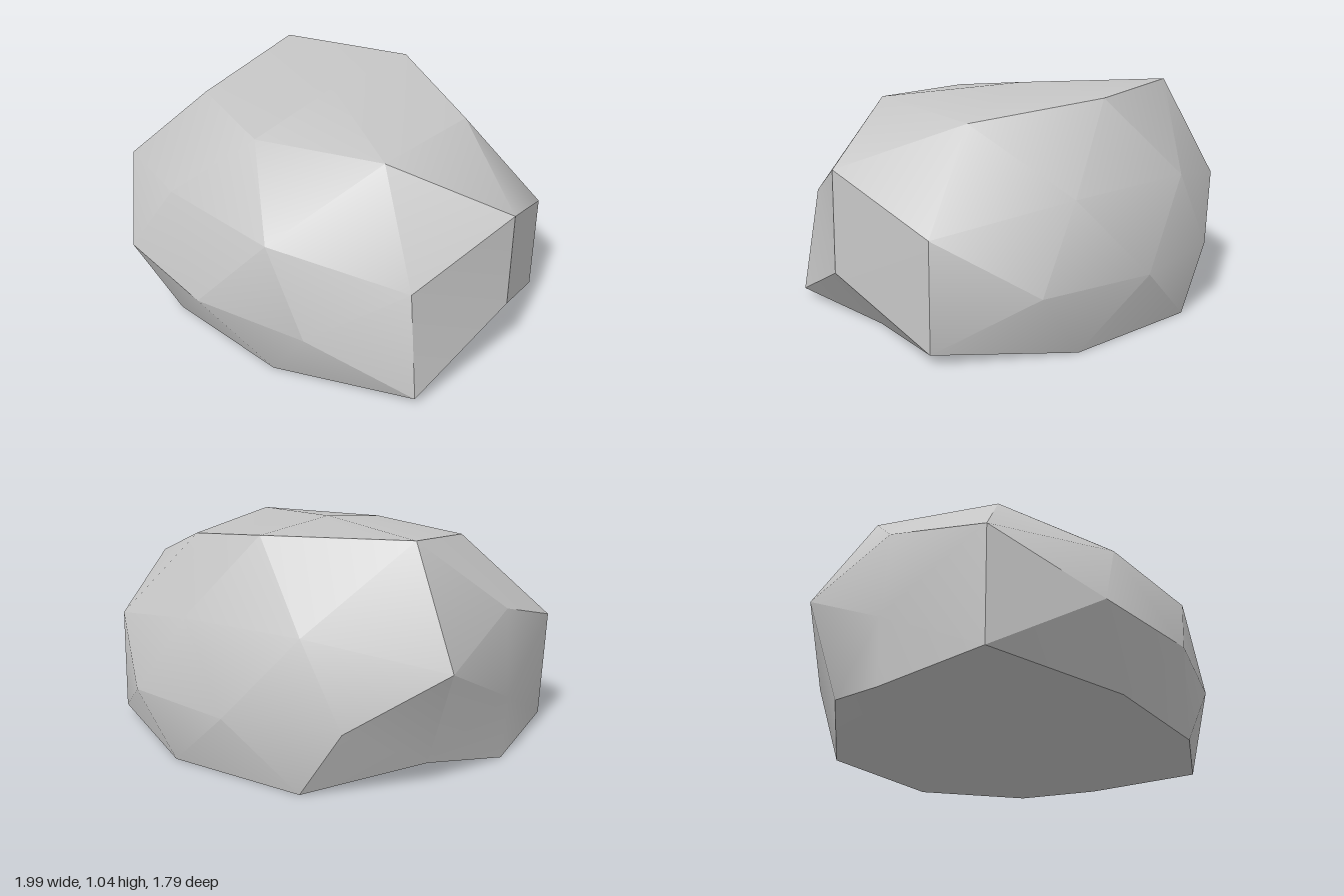
import * as THREE from 'three';
import { toCreasedNormals } from 'three/addons/utils/BufferGeometryUtils.js';

const stone = new THREE.MeshStandardMaterial({ color: 0xc5c5c5 });
stone.name = 'pale stone grey';

// Radius of the boulder along each direction of a subdivided icosahedron.
// Each row: a direction, then radii for its sign combinations (+ before -, x slowest, z fastest).
const ROWS = [
  [[1, 0, 0], [1.052, 0.942]],
  [[0, 1, 0], [1.023, 1]],
  [[0, 0, 1], [1.014, 0.97]],
  [[0.526, 0, 0.851], [1.035, 1.035, 1.095, 0.985]],
  [[0.851, 0.526, 0], [1.222, 0.98, 1.075, 1.087]],
  [[0, 0.851, 0.526], [1.085, 1.195, 1, 1]],
  [[0.809, 0.309, 0.5], [1.08, 1.1, 1.178, 1.112, 1.165, 1.085, 1.15, 0.918]],
  [[0.5, 0.809, 0.309], [1.178, 1.112, 1, 1, 1.12, 1.264, 1, 1]],
  [[0.309, 0.5, 0.809], [1.09, 0.995, 1.06, 1.08, 1.04, 1.035, 1.055, 1.08]],
];

const signs = (c) => (c === 0 ? [0] : [1, -1]);

function buildDirections() {
  const list = [];
  for (const [[x, y, z], radii] of ROWS) {
    let i = 0;
    for (const sx of signs(x)) for (const sy of signs(y)) for (const sz of signs(z)) {
      list.push({ dir: new THREE.Vector3(x * sx, y * sy, z * sz), radius: radii[i++] });
    }
  }
  return list;
}

export function createModel() {
  const group = new THREE.Group();
  group.name = 'rock';

  const directions = buildDirections();
  const geometry = new THREE.IcosahedronGeometry(1, 1).rotateX(Math.PI / 2);
  geometry.deleteAttribute('uv');

  // Push each corner in or out, squash the shape, and cut the base flat
  const pos = geometry.attributes.position;
  const v = new THREE.Vector3();
  for (let i = 0; i < pos.count; i++) {
    v.fromBufferAttribute(pos, i);
    const { radius } = directions.find((d) => d.dir.dot(v) > 0.99);
    pos.setXYZ(
      i,
      -0.055 + v.x * radius,
      Math.max(0, 0.3 + v.y * radius * 0.72),
      -0.02 + v.z * radius * 0.9
    );
  }

  // Soft facets with sharp breaks
  const boulder = new THREE.Mesh(toCreasedNormals(geometry, THREE.MathUtils.degToRad(30)), stone);
  boulder.name = 'boulder';
  group.add(boulder);
  return group;
}
